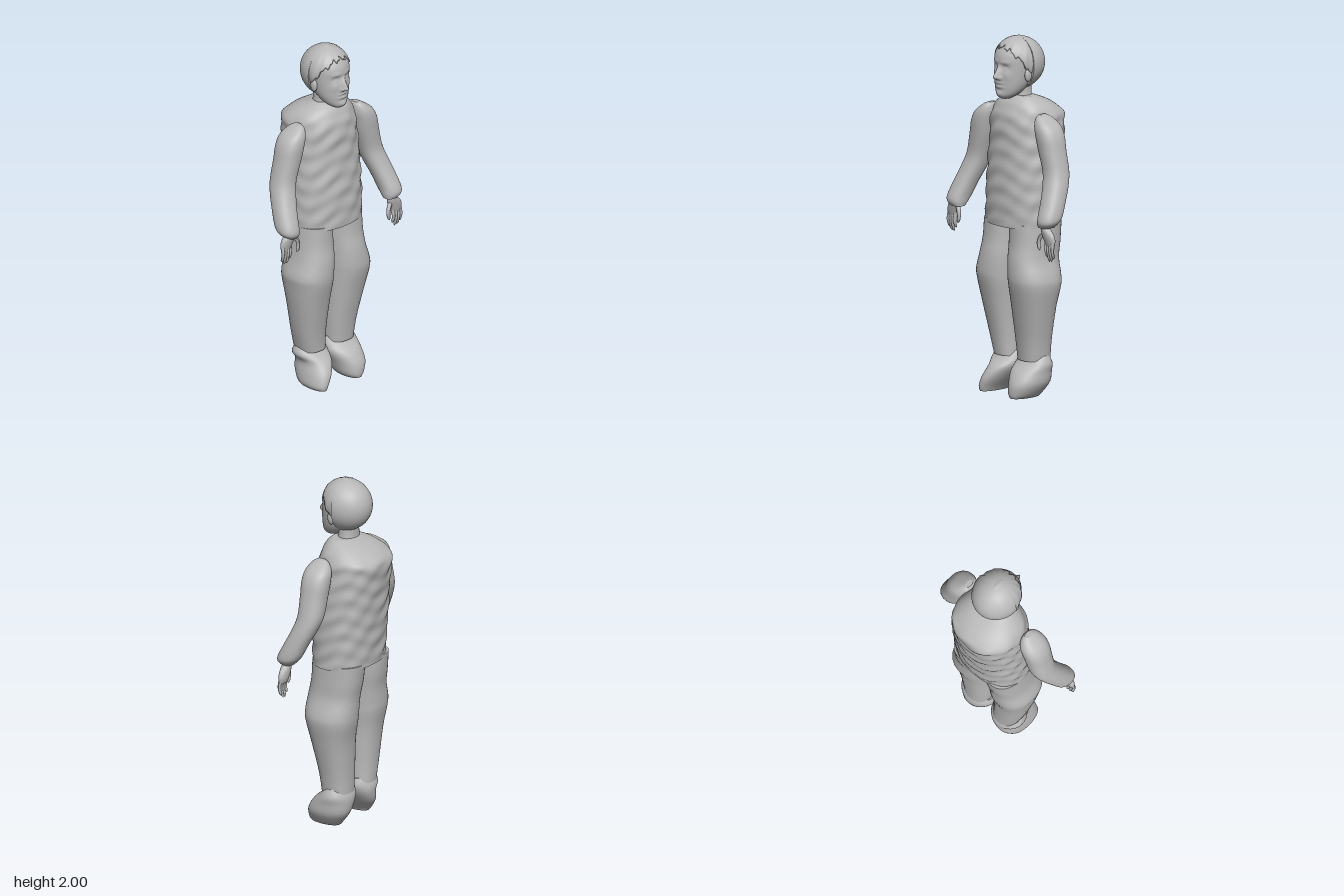
import * as THREE from 'three';

const grey = new THREE.MeshStandardMaterial({ color: 0xb8b8b8, side: THREE.DoubleSide });
grey.name = 'grey';

// Smooth spline through numeric rows
function refine(rows, sub) {
  const out = [];
  const at = i => rows[Math.max(0, Math.min(rows.length - 1, i))];
  for (let i = 0; i < rows.length - 1; i++) {
    for (let s = 0; s < sub; s++) {
      const t = s / sub;
      out.push(rows[i].map((b, k) => {
        const a = at(i - 1)[k], c = at(i + 1)[k], d = at(i + 2)[k];
        return b + 0.5 * t * (c - a + t * (2 * a - 5 * b + 4 * c - d + t * (3 * (b - c) + d - a)));
      }));
    }
  }
  out.push(rows[rows.length - 1]);
  return out;
}

// Loft of horizontal sections, bottom to top: [y, xMin, xMax, zBack, zFront]
function loft(name, rows, { power = 2.3, seg = 40, sub = 4, rule = null } = {}) {
  const rings = refine(rows, sub), pos = [], idx = [], v = new THREE.Vector3();
  const bend = c => Math.sign(c) * Math.abs(c) ** (2 / power);
  for (const [y, x0, x1, z0, z1] of rings) {
    for (let j = 0; j < seg; j++) {
      const t = j / seg * Math.PI * 2;
      v.set((x0 + x1) / 2 + (x1 - x0) / 2 * bend(Math.cos(t)), y, (z0 + z1) / 2 + (z1 - z0) / 2 * bend(Math.sin(t)));
      if (rule) rule(v, t);
      pos.push(v.x, v.y, v.z);
    }
  }
  for (let i = 0; i < rings.length - 1; i++) {
    for (let j = 0; j < seg; j++) {
      const a = i * seg + j, b = i * seg + (j + 1) % seg;
      idx.push(a, a + seg, b, a + seg, b + seg, b);
    }
  }
  // end caps with their own vertices
  [0, rings.length - 1].forEach((r, top) => {
    const start = pos.length / 3, [y, x0, x1, z0, z1] = rings[r];
    pos.push(...pos.slice(r * seg * 3, (r + 1) * seg * 3), (x0 + x1) / 2, y, (z0 + z1) / 2);
    for (let j = 0; j < seg; j++) {
      const a = start + j, b = start + (j + 1) % seg, c = start + seg;
      idx.push(...(top ? [b, a, c] : [a, b, c]));
    }
  });
  const g = new THREE.BufferGeometry();
  g.setAttribute('position', new THREE.Float32BufferAttribute(pos, 3));
  g.setIndex(idx);
  g.computeVertexNormals();
  return named(name, g);
}

function named(name, geometry) {
  const m = new THREE.Mesh(geometry, grey);
  m.name = name;
  return m;
}

function ellipsoid(name, c, r) {
  const m = named(name, new THREE.SphereGeometry(1, 28, 20));
  m.position.set(...c);
  m.scale.set(...r);
  return m;
}

const mirror = rows => rows.map(([y, a, b, ...z]) => [y, -b, -a, ...z]);

// Tapered finger along a short curve
function finger(name, points, radius) {
  const curve = new THREE.CatmullRomCurve3(points.map(p => new THREE.Vector3(...p)));
  const n = 8, seg = 10, g = new THREE.TubeGeometry(curve, n, radius, seg);
  const p = g.attributes.position, v = new THREE.Vector3();
  for (let i = 0; i <= n; i++) {
    const c = curve.getPointAt(i / n), k = i === n ? 0.05 : 1 - 0.35 * i / n;
    for (let j = 0; j <= seg; j++) {
      const q = i * (seg + 1) + j;
      v.fromBufferAttribute(p, q).sub(c).multiplyScalar(k).add(c);
      p.setXYZ(q, v.x, v.y, v.z);
    }
  }
  g.computeVertexNormals();
  return named(name, g);
}

function makeHand(name) {
  const hand = new THREE.Group();
  hand.name = name;
  hand.add(loft('palm', [
    [0.9, 0.385, 0.45, 0.14, 0.165], [0.93, 0.37, 0.457, 0.132, 0.172],
    [0.965, 0.355, 0.445, 0.13, 0.178], [1.0, 0.355, 0.41, 0.13, 0.18], [1.03, 0.36, 0.405, 0.12, 0.17]],
    { seg: 20, power: 2 }));
  for (let i = 0; i < 4; i++) {
    const x = 0.39 + i * 0.018, end = [0.835, 0.812, 0.815, 0.832][i];
    hand.add(finger('finger', [[x, 0.925, 0.152], [x + 0.003, 0.875, 0.16], [x + 0.002, end, 0.148]], 0.0115));
  }
  hand.add(finger('thumb', [[0.375, 0.97, 0.155], [0.348, 0.94, 0.168], [0.342, 0.905, 0.172], [0.352, 0.87, 0.17]], 0.0135));
  return hand;
}

// Facial relief: nose, brow, eyes, lips, chin and cheeks
function sculptFace(v) {
  if (v.z < 0.06) return;
  const x = v.x, y = v.y, ax = Math.abs(x);
  const bump = (cx, cy, rx, ry) => Math.exp(-(((ax - cx) / rx) ** 2) - ((y - cy) / ry) ** 2);
  const bridge = Math.max(0, Math.min(1, (1.85 - y) / 0.06)) * Math.max(0, Math.min(1, (y - 1.765) / 0.016));
  v.z += 0.042 * bridge * Math.exp(-((x / 0.014) ** 2));
  v.z += 0.012 * bump(0.016, 1.777, 0.009, 0.01);
  v.z -= 0.014 * bump(0.04, 1.837, 0.022, 0.016);
  v.z += 0.009 * bump(0.04, 1.833, 0.013, 0.008);
  v.z += 0.005 * bump(0.04, 1.868, 0.03, 0.01);
  v.z += 0.007 * bump(0, 1.75, 0.028, 0.007) + 0.006 * bump(0, 1.73, 0.024, 0.007);
  v.z -= 0.005 * bump(0, 1.74, 0.03, 0.004) + 0.004 * bump(0, 1.712, 0.035, 0.008);
  v.z += 0.006 * bump(0, 1.688, 0.025, 0.014) + 0.005 * bump(0.055, 1.79, 0.025, 0.025);
}

// Front hair: thin shell from crown to an uneven hairline
function frontHair() {
  const n = 64, m = 14, pos = [], idx = [];
  for (let i = 0; i <= n; i++) {
    const u = (i / n - 0.5) * Math.PI, side = Math.abs(u) / (Math.PI / 2);
    const low = 1.945 - 0.165 * side ** 2.2 + 0.009 * Math.sin(u * 13 + 1) + 0.005 * Math.sin(u * 29);
    const last = Math.acos((low - 1.86) / 0.138);
    for (let j = 0; j <= m + 1; j++) {
      const f = last * Math.min(j, m) / m;
      const k = j > m ? 0.86 : 1 + 0.012 * Math.sin(u * 17 + f * 4) * (j / m);
      pos.push(0.131 * k * Math.sin(f) * Math.sin(u), 1.86 + 0.138 * Math.cos(f), 0.035 + 0.139 * k * Math.sin(f) * Math.cos(u));
    }
  }
  const w = m + 2;
  for (let i = 0; i < n; i++) {
    for (let j = 0; j <= m; j++) {
      const a = i * w + j, b = a + w;
      idx.push(a, a + 1, b, b, a + 1, b + 1);
    }
  }
  const g = new THREE.BufferGeometry();
  g.setAttribute('position', new THREE.Float32BufferAttribute(pos, 3));
  g.setIndex(idx);
  g.computeVertexNormals();
  return named('frontHair', g);
}

export function createModel() {
  const model = new THREE.Group();
  model.name = 'figure';

  // Jacket with soft cloth wrinkles
  model.add(loft('jacket', [
    [0.95, -0.22, 0.235, -0.16, 0.178], [1.1, -0.22, 0.235, -0.172, 0.178], [1.25, -0.216, 0.232, -0.185, 0.172],
    [1.4, -0.21, 0.225, -0.2, 0.163], [1.5, -0.204, 0.215, -0.213, 0.16], [1.56, -0.2, 0.208, -0.218, 0.152],
    [1.6, -0.18, 0.19, -0.18, 0.138], [1.635, -0.14, 0.16, -0.125, 0.122], [1.66, -0.095, 0.13, -0.065, 0.1],
    [1.672, -0.07, 0.11, -0.03, 0.08]], {
    seg: 72, sub: 8, power: 2.25,
    rule: (v, t) => {
      const fade = Math.min(1, Math.max(0, (1.64 - v.y) / 0.1)) * Math.min(1, (v.y - 0.95) / 0.05);
      const w = 0.003 * fade * (Math.sin(v.y * 62 + 2.5 * Math.sin(t * 3)) + 0.8 * Math.sin(v.y * 37 + t * 9));
      v.x += w * Math.cos(t);
      v.z += w * Math.sin(t);
    } }));

  // Trouser legs
  const legZ = [[-0.075, 0.095], [-0.078, 0.11], [-0.09, 0.145], [-0.113, 0.172], [-0.118, 0.178], [-0.122, 0.172], [-0.138, 0.158], [-0.15, 0.155]];
  const legs = {
    leftLeg: [[0.2, 0.02, 0.195], [0.32, 0.012, 0.21], [0.5, 0.008, 0.246], [0.62, 0.006, 0.27], [0.68, 0.004, 0.265], [0.77, 0.002, 0.236], [0.86, -0.004, 0.229], [0.97, -0.006, 0.225]],
    rightLeg: [[0.2, -0.18, -0.02], [0.32, -0.21, -0.024], [0.5, -0.243, -0.018], [0.62, -0.26, -0.008], [0.68, -0.264, -0.005], [0.77, -0.238, 0], [0.86, -0.226, 0.003], [0.97, -0.218, 0.004]],
  };
  for (const [name, rows] of Object.entries(legs)) model.add(loft(name, rows.map((r, i) => [...r, ...legZ[i]])));

  // Shoes
  const shoeZ = [[-0.01, 0.18], [-0.03, 0.186], [-0.068, 0.18], [-0.08, 0.145], [-0.077, 0.095], [-0.055, 0.06]];
  const shoes = {
    leftShoe: [[0, 0.07, 0.165], [0.025, 0.048, 0.188], [0.08, 0.03, 0.216], [0.14, 0.005, 0.219], [0.185, -0.002, 0.22], [0.23, 0.01, 0.2]],
    rightShoe: [[0, -0.182, -0.105], [0.025, -0.195, -0.09], [0.08, -0.188, -0.05], [0.14, -0.178, -0.012], [0.185, -0.203, 0], [0.23, -0.18, -0.01]],
  };
  for (const [name, rows] of Object.entries(shoes)) model.add(loft(name, rows.map((r, i) => [...r, ...shoeZ[i]]), { power: 2.15 }));

  // Sleeves and hands
  const sleeve = [
    [1.0, 0.335, 0.415, 0.115, 0.188], [1.025, 0.33, 0.443, 0.088, 0.2], [1.06, 0.325, 0.449, 0.06, 0.194],
    [1.13, 0.308, 0.437, 0.028, 0.162], [1.21, 0.282, 0.418, -0.01, 0.128], [1.29, 0.257, 0.395, -0.036, 0.106],
    [1.4, 0.222, 0.368, -0.04, 0.11], [1.48, 0.203, 0.349, -0.044, 0.115], [1.535, 0.192, 0.318, -0.038, 0.11],
    [1.575, 0.195, 0.265, -0.012, 0.09], [1.592, 0.205, 0.235, 0.015, 0.065]];
  model.add(loft('leftSleeve', sleeve), loft('rightSleeve', mirror(sleeve)));
  const rightHand = makeHand('rightHand');
  rightHand.scale.x = -1;
  rightHand.position.y = 0.035;
  model.add(makeHand('leftHand'), rightHand);

  // Head
  const head = new THREE.Group();
  head.name = 'head';
  head.add(loft('neck', [[1.62, -0.075, 0.085, -0.045, 0.08], [1.68, -0.062, 0.065, -0.035, 0.065], [1.78, -0.062, 0.062, -0.035, 0.07]]));
  head.add(loft('face', [
    [1.66, -0.025, 0.025, 0.1, 0.15], [1.675, -0.05, 0.05, 0.06, 0.168], [1.7, -0.073, 0.073, 0.02, 0.173],
    [1.74, -0.092, 0.092, -0.02, 0.174], [1.79, -0.103, 0.103, -0.04, 0.171], [1.85, -0.11, 0.11, -0.05, 0.17],
    [1.9, -0.11, 0.11, -0.05, 0.166], [1.945, -0.094, 0.094, -0.04, 0.14], [1.975, -0.065, 0.065, -0.02, 0.1],
    [1.988, -0.03, 0.03, 0.01, 0.06]], { power: 2, seg: 96, sub: 7, rule: sculptFace }));
  for (const s of [1, -1]) head.add(ellipsoid('ear', [s * 0.112, 1.795, 0.055], [0.014, 0.036, 0.022]));

  // Hair: rear half shell with a flat seam, front locks and crown patch
  const rear = named('rearHair', new THREE.SphereGeometry(1, 40, 32, Math.PI, Math.PI).rotateY(0));
  rear.scale.set(0.138, 0.147, 0.153);
  rear.position.set(0.002, 1.85, 0.035);
  const seam = named('rearHairSeam', new THREE.CircleGeometry(1, 48));
  seam.scale.set(0.138, 0.147, 1);
  seam.position.copy(rear.position);
  head.add(rear, seam, frontHair(), ellipsoid('crownPatch', [0, 1.965, 0.037], [0.036, 0.035, 0.062]));
  model.add(head);
  return model;
}
